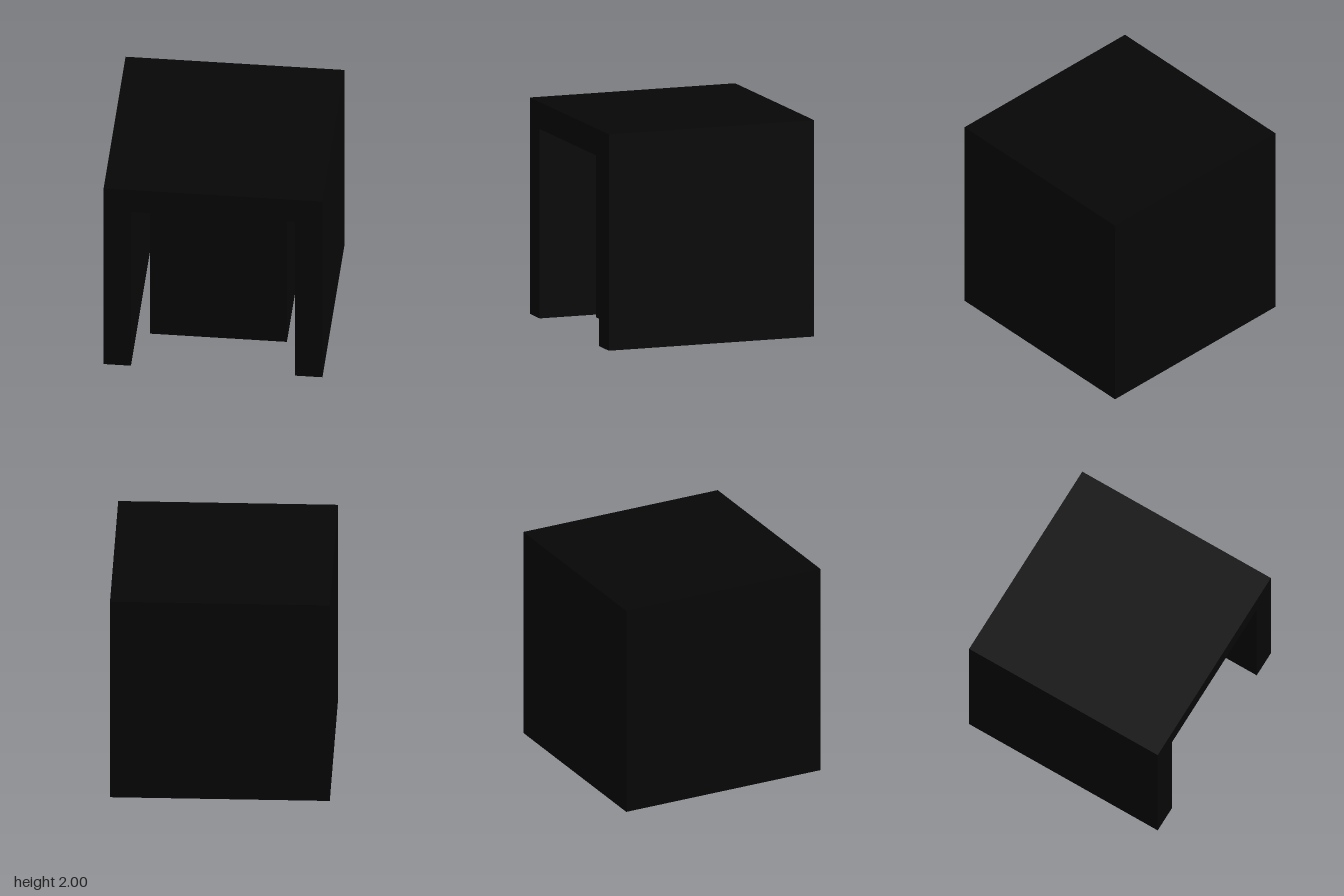
import * as THREE from 'three';

export function createModel() {
  const group = new THREE.Group();
  const black = new THREE.MeshStandardMaterial({ color: 0x060606 });
  const blackSheet = new THREE.MeshStandardMaterial({ color: 0x060606, side: THREE.DoubleSide });
  blackSheet.name = 'black sheet';
  black.name = 'black';

  const add = (name, geometry, material, x, y, z) => {
    const mesh = new THREE.Mesh(geometry, material);
    mesh.name = name;
    mesh.position.set(x, y, z);
    group.add(mesh);
    return mesh;
  };

  // Thick outer housing: an upside-down U, open at the front and below
  const arch = new THREE.Shape([
    [-1, 0], [-0.75, 0], [-0.75, 1.75], [0.75, 1.75],
    [0.75, 0], [1, 0], [1, 2], [-1, 2],
  ].map(([x, y]) => new THREE.Vector2(x, y)));
  add('housing', new THREE.ExtrudeGeometry(arch, { depth: 1.75, bevelEnabled: false }), black, 0, 0, -0.75);
  add('backWall', new THREE.BoxGeometry(2, 2, 0.25), black, 0, 1, -0.875);

  // Thin inner hood, hollow and open below
  const w = 1.25, h = 1.625, d = 1;
  for (const s of [-1, 1]) {
    add(s > 0 ? 'hoodFront' : 'hoodBack', new THREE.PlaneGeometry(w, h), blackSheet, 0, h / 2, s * d / 2)
      .rotation.y = s > 0 ? 0 : Math.PI;
    add(s > 0 ? 'hoodLeft' : 'hoodRight', new THREE.PlaneGeometry(d, h), blackSheet, s * w / 2, h / 2, 0)
      .rotation.y = s * Math.PI / 2;
  }
  add('hoodTop', new THREE.PlaneGeometry(w, d), blackSheet, 0, h, 0).rotation.x = -Math.PI / 2;

  // Block that hangs the hood from the ceiling
  add('hanger', new THREE.BoxGeometry(0.5, 0.125, 0.5), black, 0, 1.6875, 0);

  return group;
}
